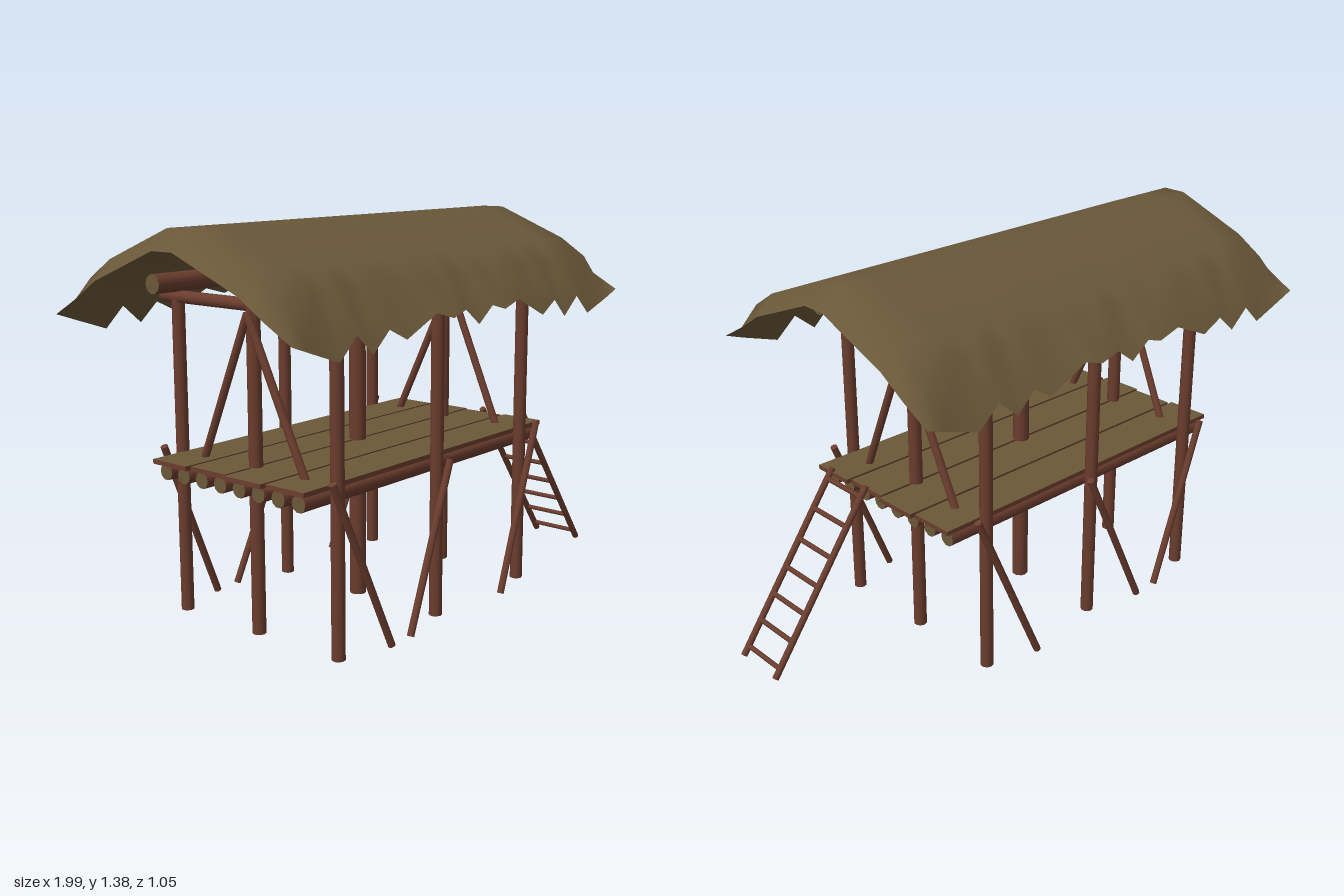
import * as THREE from 'three';

const wood = new THREE.MeshStandardMaterial({ color: 0x6b3d2e });
wood.name = 'brown wood';
const thatch = new THREE.MeshStandardMaterial({ color: 0x6a5839, side: THREE.DoubleSide });
thatch.name = 'olive thatch';
const cutWood = new THREE.MeshStandardMaterial({ color: 0x6a5838 });
cutWood.name = 'olive cut wood';

// Round pole between two points; the cap material colours its end grain
function pole(name, a, b, radius, cap = wood, sides = 10) {
  const from = new THREE.Vector3(...a), to = new THREE.Vector3(...b);
  const dir = to.clone().sub(from);
  const mesh = new THREE.Mesh(
    new THREE.CylinderGeometry(radius, radius, dir.length(), sides), [wood, cap, cap]);
  mesh.position.copy(from).add(to).multiplyScalar(0.5);
  mesh.quaternion.setFromUnitVectors(new THREE.Vector3(0, 1, 0), dir.normalize());
  mesh.name = name;
  return mesh;
}

// Curved thatch with drooping ends and ragged eaves
function makeRoof() {
  const eave = [
    [-1, 1.08], [-0.935, 1.057], [-0.8, 1.01], [-0.725, 1.08], [-0.65, 1.015], [-0.575, 1.08],
    [-0.49, 1.04], [-0.34, 1.105], [-0.25, 1.08], [-0.185, 1.1], [-0.11, 1.045], [-0.035, 1.1],
    [0.04, 1.08], [0.12, 1.105], [0.275, 1.035], [0.35, 1.08], [0.42, 1.015], [0.5, 1.08],
    [0.58, 1.01], [0.72, 1.056], [0.785, 1.08]];
  const half = [[0.42, 1.203], [0.32, 1.267], [0.045, 1.376]];
  const pos = [], index = [];
  eave.forEach(([x, low], i) => {
    const drop = i === 0 || i === eave.length - 1 ? 0.065 : 0;
    const side = [[0.525, low], ...half.map(([z, y]) => [z, y - drop])];
    const section = [...side, ...side.map(([z, y]) => [-z, y]).reverse()];
    section.forEach(([z, y]) => pos.push(x, y, z));
  });
  const n = 8;
  for (let i = 0; i < eave.length - 1; i++) {
    for (let j = 0; j < n - 1; j++) {
      const a = i * n + j, b = a + n;
      index.push(a, b, b + 1, a, b + 1, a + 1);
    }
  }
  const g = new THREE.BufferGeometry();
  g.setAttribute('position', new THREE.Float32BufferAttribute(pos, 3));
  g.setIndex(index);
  g.computeVertexNormals();
  const roof = new THREE.Mesh(g, thatch);
  roof.name = 'thatchedRoof';
  return roof;
}

export function createModel() {
  const model = new THREE.Group();
  model.name = 'stiltHut';
  const add = (...args) => model.add(pole(...args));
  const postX = [-0.625, -0.11, 0.4];

  // Posts: outer rows carry the eave beams, the middle row the ridge
  postX.forEach((x, i) => {
    for (const s of [-1, 1]) add('outerPost', [x, 0, s * 0.357], [x, 1.11, s * 0.357], 0.023);
    add('ridgePost', [x, 0, 0], [x, 1.29, 0], i === 1 ? 0.03 : 0.024);
  });

  // Roof frame
  for (const x of [postX[0], postX[2]]) {
    add('crossBeam', [x, 1.116, -0.43], [x, 1.116, 0.42], 0.022);
  }
  for (const s of [-1, 1]) {
    add('eaveBeam', [-0.74, 1.167, s * 0.352], [0.52, 1.167, s * 0.352], 0.034, cutWood);
  }
  add('ridgeBeam', [-0.9, 1.315, 0], [0.69, 1.315, 0], 0.032, cutWood);

  // Slanted braces inside the two gable ends
  for (const [top, foot] of [[-0.652, -0.637], [0.44, 0.425]]) {
    for (const s of [-1, 1]) add('gableBrace', [top, 1.09, 0], [foot, 0.57, s * 0.235], 0.014);
  }

  // Ground braces along both long sides
  for (const [x0, y0, x1] of [[-0.683, 0.6, -0.425], [-0.075, 0.56, -0.325], [0.465, 0.6, 0.21]]) {
    for (const s of [-1, 1]) {
      add('groundBrace', [x0, y0, s * 0.388], [x1, 0, s * 0.415], 0.013);
    }
  }

  // Floor logs
  for (let i = 0; i < 8; i++) {
    const z = 0.302 - i * 0.0872;
    add('floorLog', [-0.745, 0.535, z], [0.53, 0.535, z], 0.029, cutWood);
  }

  // Floor planks with olive tops
  for (let i = 0; i < 4; i++) {
    const plank = new THREE.Mesh(new THREE.BoxGeometry(1.33, 0.016, 0.162),
      [wood, wood, cutWood, wood, wood, wood]);
    plank.position.set(-0.105 + (i % 2 ? 0.008 : -0.005), 0.573, -0.258 + i * 0.172);
    plank.name = 'floorPlank';
    model.add(plank);
  }

  // Ladder
  const ladder = new THREE.Group();
  ladder.name = 'ladder';
  for (const z of [0.078, 0.27]) {
    ladder.add(pole('ladderRail', [0.56, 0.592, z], [0.985, 0, z], 0.012));
  }
  for (const y of [0.03, 0.112, 0.195, 0.28, 0.368, 0.465, 0.558]) {
    const x = 0.985 - y * 0.425 / 0.592;
    ladder.add(pole('ladderRung', [x, y, 0.078], [x, y, 0.27], 0.009, wood, 8));
  }
  model.add(ladder);

  model.add(makeRoof());
  return model;
}
